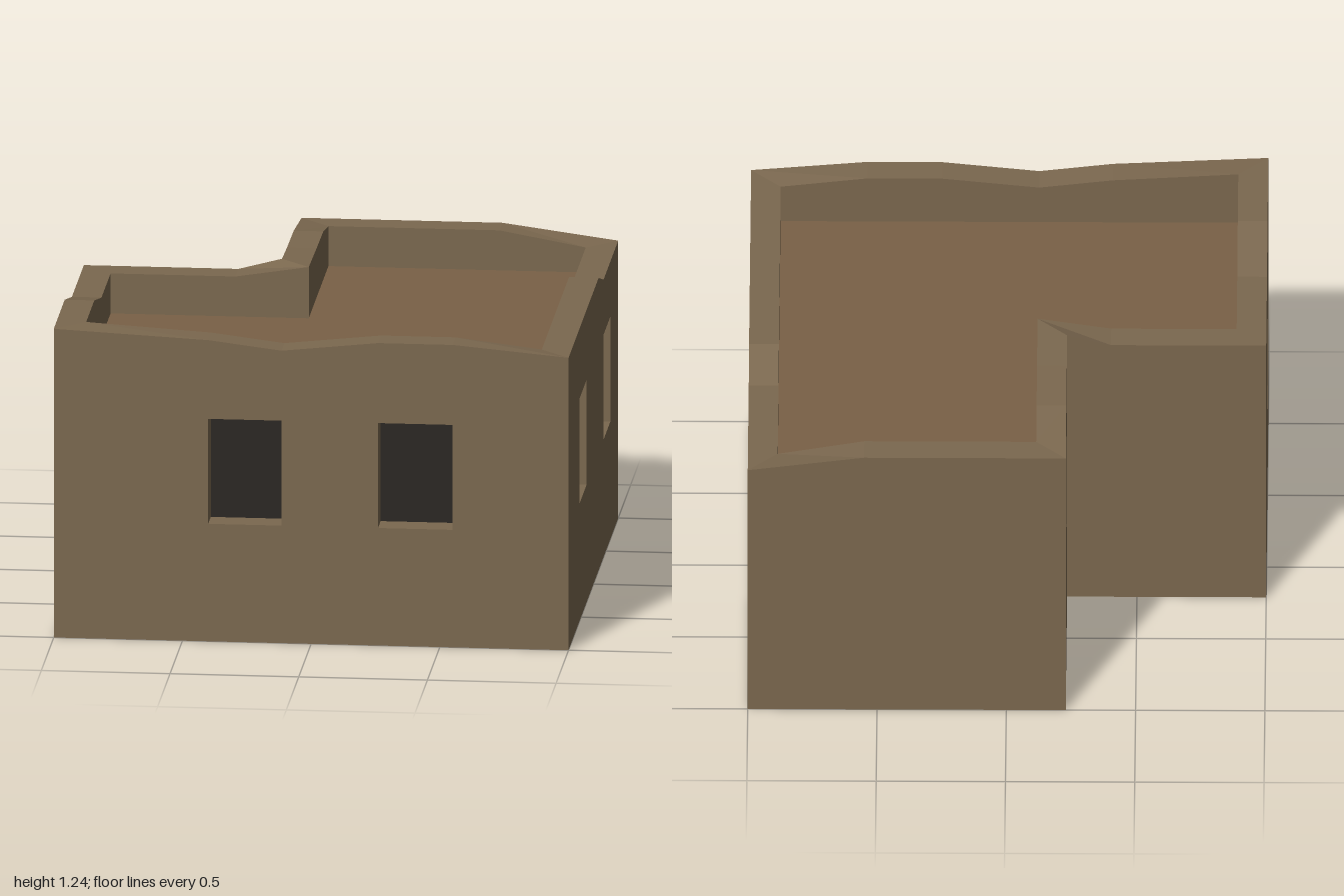
import * as THREE from 'three';

const T = 0.115; // wall thickness
const ROOF_Y = 1.01;
const SILL = 0.47, LINTEL = 0.89;

const mat = (color) => new THREE.MeshStandardMaterial({ color, roughness: 1 });

// Corners of the L-shaped plan as [x, z], in order seen from outside
const OUTER = [[-1, 1], [1, 1], [1, -1], [-0.23, -1], [-0.23, -0.21], [-1, -0.21]];
const INNER = [[-1 + T, 1 - T], [1 - T, 1 - T], [1 - T, -1 + T],
  [-0.23 + T, -1 + T], [-0.23 + T, -0.21 + T], [-1 + T, -0.21 + T]];
const CONCAVE = 4; // index of the inside corner

// Walls: worn top edge as [distance along wall, height], windows as [from, to]
const WALLS = [
  { name: 'frontWall', top: [[0, 1.235], [0.6, 1.205], [0.885, 1.17], [1.26, 1.21], [1.55, 1.21], [2, 1.17]],
    windows: [[0.6, 0.885], [1.26, 1.55]] },
  { name: 'leftWall', top: [[0, 1.17], [1.21, 1.17], [1.41, 1.11], [2, 1.11]],
    windows: [[0.44, 0.73], [1.41, 1.68]] },
  { name: 'backWall', top: [[0, 1.11], [0.45, 1.17], [1.23, 1.17]], windows: [] },
  { name: 'courtSideWall', top: [[0, 1.17], [0.32, 1.203], [0.59, 1.207], [0.79, 1.215]], windows: [[0.32, 0.59]] },
  { name: 'courtBackWall', top: [[0, 1.215], [0.17, 1.17], [0.77, 1.17]], windows: [] },
  { name: 'rightWall', top: [[0, 1.17], [0.48, 1.17], [0.77, 1.235], [1.21, 1.235]], windows: [[0.48, 0.77]] },
];

// Wall panel with window openings; its inner face is mitred at both corners
function wallGeometry({ top, windows }, length, startConcave, endConcave) {
  const shape = new THREE.Shape();
  shape.moveTo(0, 0).lineTo(length, 0);
  [...top].reverse().forEach(([u, h]) => shape.lineTo(u, h));
  shape.closePath();
  for (const [a, b] of windows) {
    const hole = new THREE.Path();
    hole.moveTo(a, SILL).lineTo(a, LINTEL).lineTo(b, LINTEL).lineTo(b, SILL).closePath();
    shape.holes.push(hole);
  }
  const geo = new THREE.ExtrudeGeometry(shape, { depth: T, bevelEnabled: false });
  geo.translate(0, 0, -T);
  const p = geo.attributes.position;
  for (let i = 0; i < p.count; i++) {
    if (p.getZ(i) > -T / 2) continue;
    const u = p.getX(i);
    if (u < 0.001) p.setX(i, startConcave ? -T : T);
    else if (u > length - 0.001) p.setX(i, length + (endConcave ? T : -T));
  }
  geo.computeVertexNormals();
  return geo;
}

// Horizontal L-shaped plan, in the xz plane
const planShape = (pts, flip) => new THREE.Shape(pts.map(([x, z]) => new THREE.Vector2(x, flip * z)));

export function createModel() {
  const house = new THREE.Group();
  house.name = 'adobeHouse';
  const wallMat = mat(0x7b684f), roofMat = mat(0x7a6146), paneMat = mat(0x2a2622);

  WALLS.forEach((wall, i) => {
    const j = (i + 1) % OUTER.length;
    const [x0, z0] = OUTER[i], [x1, z1] = OUTER[j];
    const length = Math.hypot(x1 - x0, z1 - z0);
    const group = new THREE.Group();
    group.name = wall.name;
    group.position.set(x0, 0, z0);
    group.rotation.y = Math.atan2(z0 - z1, x1 - x0);

    const panel = new THREE.Mesh(wallGeometry(wall, length, i === CONCAVE, j === CONCAVE), wallMat);
    panel.name = 'wallPanel';
    group.add(panel);

    // Dark panes at the back of the window recesses
    for (const [a, b] of wall.windows) {
      const pane = new THREE.Mesh(new THREE.BoxGeometry(b - a, LINTEL - SILL, 0.01), paneMat);
      pane.name = 'windowPane';
      pane.position.set((a + b) / 2, (SILL + LINTEL) / 2, -T + 0.005);
      group.add(pane);
    }
    house.add(group);
  });

  // Flat roof sunk behind the parapet
  const roofGeo = new THREE.ExtrudeGeometry(planShape(INNER, -1), { depth: 0.06, bevelEnabled: false });
  const roof = new THREE.Mesh(roofGeo, roofMat);
  roof.name = 'roof';
  roof.rotation.x = -Math.PI / 2;
  roof.position.y = ROOF_Y - 0.06;
  house.add(roof);

  // Underside
  const base = new THREE.Mesh(new THREE.ShapeGeometry(planShape(OUTER, 1)), wallMat);
  base.name = 'base';
  base.rotation.x = Math.PI / 2;
  house.add(base);

  return house;
}
